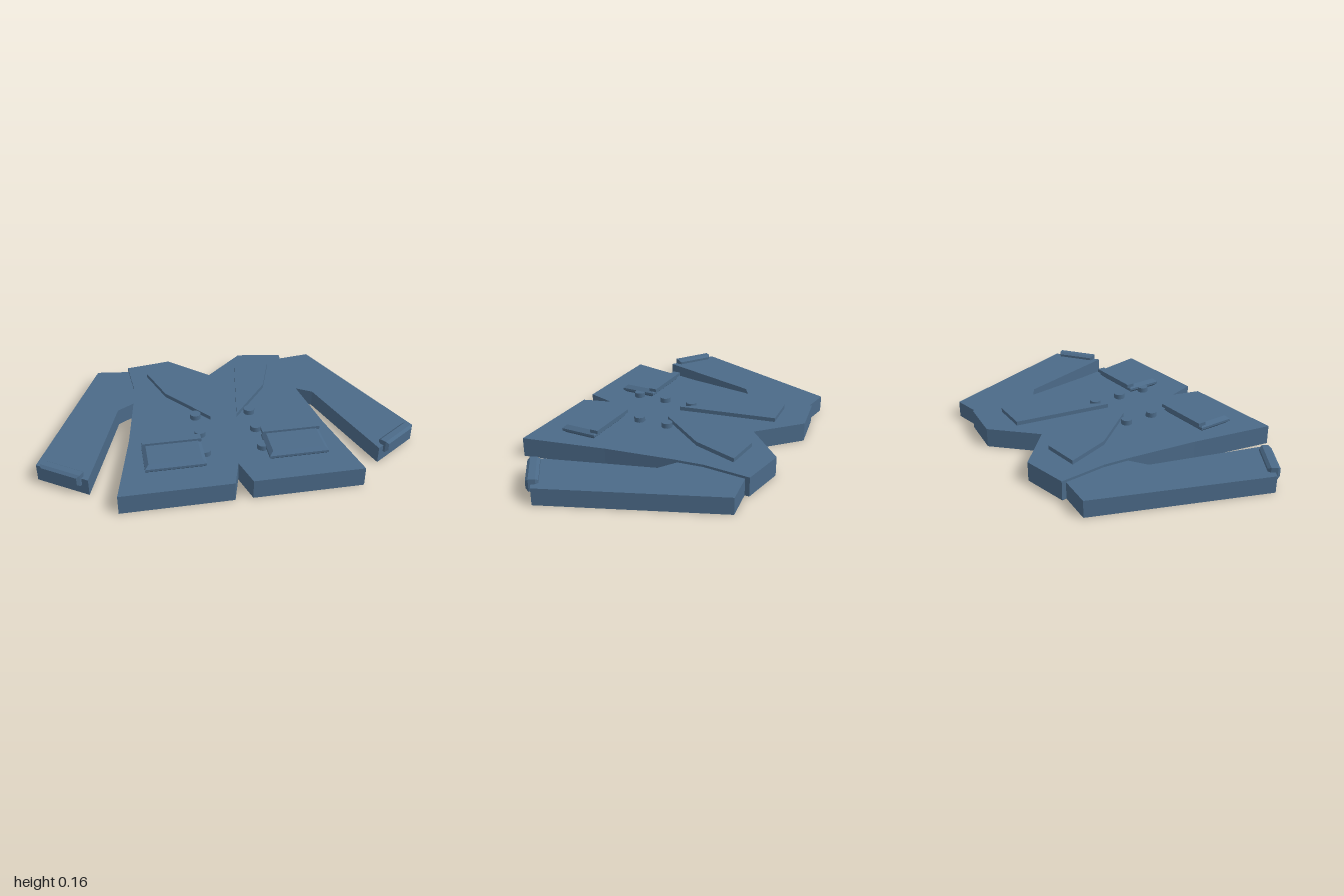
import * as THREE from 'three';

const cloth = new THREE.MeshStandardMaterial({ color: 0x4b6a88 });
cloth.name = 'slate blue cloth';

// Flat panel lying on the ground plane, from an [x, z] outline
function panel(name, outline, bottom, top) {
  const shape = new THREE.Shape(outline.map(([x, z]) => new THREE.Vector2(x, -z)));
  const geo = new THREE.ExtrudeGeometry(shape, { depth: top - bottom, bevelEnabled: false });
  geo.rotateX(-Math.PI / 2).translate(0, bottom, 0);
  return named(name, geo);
}

// Block with chamfered edges, centred, thickness along z
function chamferBlock(w, h, d, inset, chamfer) {
  const x = w / 2 - inset, y = h / 2 - inset;
  const shape = new THREE.Shape([[-x, -y], [x, -y], [x, y], [-x, y]].map(p => new THREE.Vector2(...p)));
  return new THREE.ExtrudeGeometry(shape, {
    depth: d - 2 * chamfer, bevelEnabled: true, bevelSegments: 1, bevelSize: inset, bevelThickness: chamfer,
  }).translate(0, 0, chamfer - d / 2);
}

function named(name, geo) {
  const mesh = new THREE.Mesh(geo, cloth);
  mesh.name = name;
  return mesh;
}

export function createModel() {
  const jacket = new THREE.Group();
  jacket.name = 'jacket';

  // Body: one half outline, mirrored
  const half = [[0, -0.42], [0.22, -0.63], [0.472, -0.59], [0.455, -0.34], [0.472, -0.18],
    [0.525, 0.18], [0.615, 0.625], [0.045, 0.625], [0, 0.47]];
  const other = half.slice(1, -1).reverse().map(([x, z]) => [-x, z]);
  jacket.add(panel('body', [...half, ...other], 0, 0.103));

  for (const [side, s] of [['left', 1], ['right', -1]]) {
    const flip = pts => pts.map(([x, z]) => [s * x, z]);

    // Sleeve
    jacket.add(panel(side + 'Sleeve', flip([[0.465, -0.565], [0.653, -0.59], [1, 0.285],
      [0.747, 0.457], [0.562, -0.145], [0.46, -0.21], [0.45, -0.34]]), 0, 0.09));

    // Cuff set across the sleeve end
    const cuff = named(side + 'Cuff', chamferBlock(0.232, 0.064, 0.062, 0.012, 0.014));
    cuff.position.set(s * 0.871, 0.084, 0.366);
    cuff.rotation.y = s * 0.601;
    jacket.add(cuff);

    // Lapel
    jacket.add(panel(side + 'Lapel', flip([[0.165, -0.477], [0.367, -0.462], [0.285, -0.22],
      [0.073, 0.057]]), 0.1, 0.125));

    // Buttons
    for (const z of [0.022, 0.19, 0.36]) {
      const button = named(side + 'Button', new THREE.CylinderGeometry(0.03, 0.03, 0.04, 12));
      button.position.set(s * 0.15, 0.11, z);
      jacket.add(button);
    }

    // Pocket and its flap
    const pocket = named(side + 'Pocket', chamferBlock(0.308, 0.2, 0.048, 0.02, 0.018));
    pocket.rotation.x = -Math.PI / 2;
    pocket.position.set(s * 0.314, 0.124, 0.378);
    jacket.add(pocket);
    const flap = named(side + 'PocketFlap', new THREE.BoxGeometry(0.306, 0.018, 0.044));
    flap.position.set(s * 0.314, 0.151, 0.28);
    jacket.add(flap);
  }
  return jacket;
}
